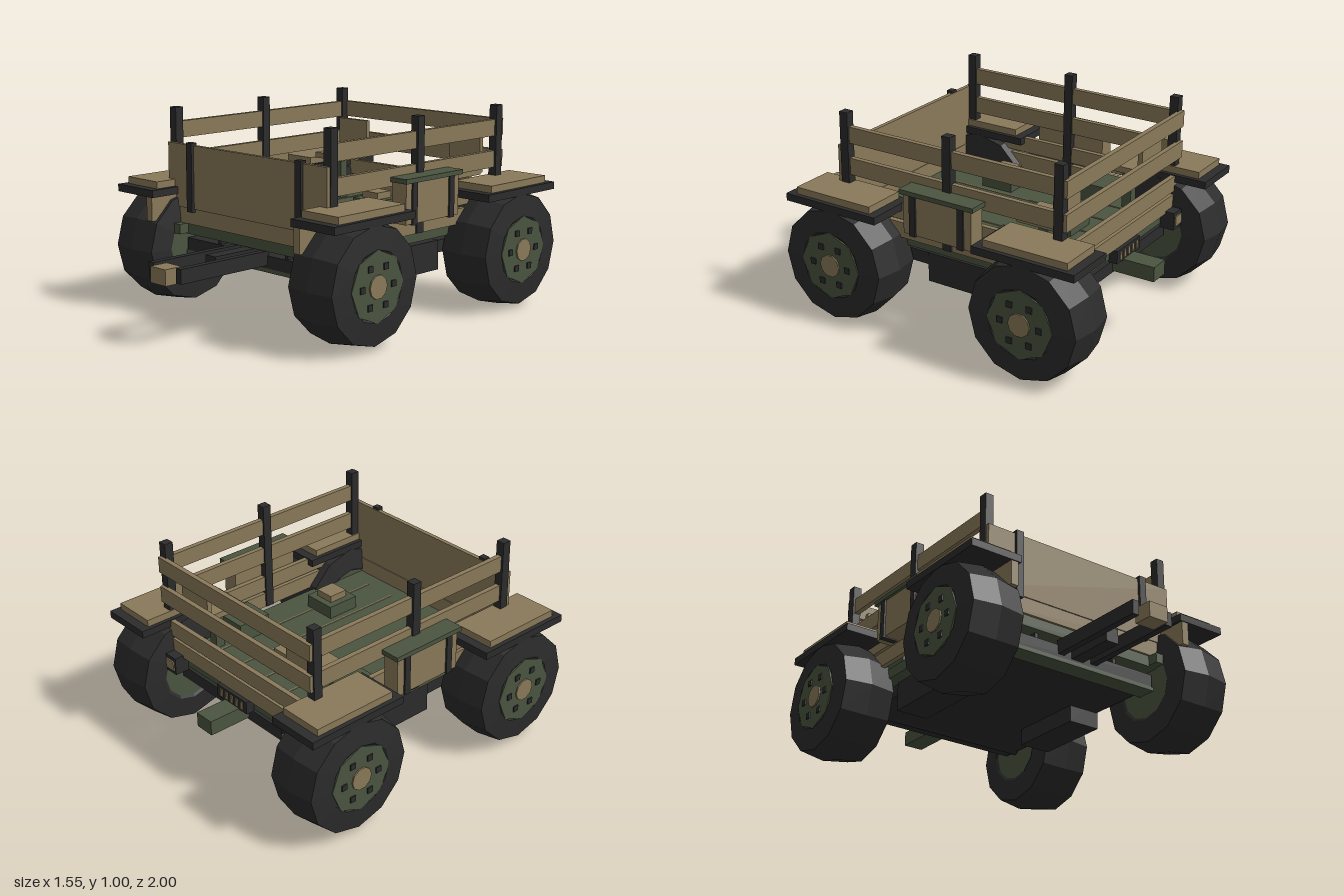
import * as THREE from 'three';

const mat = (name, color) => {
  const m = new THREE.MeshStandardMaterial({ color, flatShading: true });
  m.name = name;
  return m;
};

export function createModel() {
  const model = new THREE.Group();
  model.name = 'cargoTrailer';
  const tan = mat('tan paint', 0x8a7a5a);
  const green = mat('olive paint', 0x4b5540);
  const black = mat('black rubber and steel', 0x2c2c2d);

  // Box given by its limits on each axis
  const box = (name, m, x0, x1, y0, y1, z0, z1, parent = model) => {
    const mesh = new THREE.Mesh(new THREE.BoxGeometry(x1 - x0, y1 - y0, z1 - z0), m);
    mesh.position.set((x0 + x1) / 2, (y0 + y1) / 2, (z0 + z1) / 2);
    mesh.name = name;
    parent.add(mesh);
    return mesh;
  };
  // The same box on both sides
  const pair = (name, m, x0, x1, ...rest) => {
    box(name + 'Left', m, x0, x1, ...rest);
    box(name + 'Right', m, -x1, -x0, ...rest);
  };

  // Floor, planking seams and chassis
  box('floor', green, -0.5, 0.5, 0.38, 0.435, -0.77, 0.455);
  for (const x of [-0.34, -0.17, 0, 0.17, 0.34])
    box('floorSeam', tan, x - 0.004, x + 0.004, 0.434, 0.438, -0.71, 0.37);
  box('chassis', black, -0.465, 0.465, 0.29, 0.352, -0.76, 0.43);
  box('frontAxlePlate', green, -0.475, 0.475, 0.27, 0.29, 0.33, 0.43);
  pair('chassisHanger', black, 0.225, 0.245, 0.35, 0.385, -0.7, 0.42);
  pair('underBox', black, 0.295, 0.47, 0.205, 0.355, -0.4, 0.01);
  pair('frontStep', green, 0.43, 0.475, 0.385, 0.435, 0.45, 0.51);

  // Stakes
  for (const z of [-0.757, -0.16, 0.432])
    pair('stake', black, 0.512, 0.557, 0.44, 1.005, z - 0.023, z + 0.023);

  // Slatted sides and tail
  for (const [y0, y1] of [[0.437, 0.515], [0.53, 0.61], [0.69, 0.775], [0.85, 0.933]]) {
    pair('sideSlat', tan, 0.52, 0.546, y0, y1, -0.775, 0.445);
    box('tailSlat', tan, -0.55, 0.55, y0, y1, -0.797, -0.772);
  }

  // Front board with straps
  box('frontBoard', tan, -0.552, 0.552, 0.515, 0.832, 0.452, 0.474);
  box('frontSill', tan, -0.5, 0.5, 0.435, 0.515, 0.448, 0.468);
  pair('frontStrap', black, 0.36, 0.4, 0.5, 0.845, 0.455, 0.488);

  // Side lockers with lids and straps
  pair('locker', tan, 0.546, 0.632, 0.515, 0.715, -0.35, 0.03);
  pair('lockerLid', green, 0.546, 0.646, 0.712, 0.735, -0.367, 0.045);
  for (const z of [-0.025, -0.293])
    pair('lockerStrap', black, 0.56, 0.641, 0.51, 0.72, z - 0.017, z + 0.017);

  // Tyre cross-section, as radius and offset along the axle
  const profile = [[0.1, -0.11], [0.17, -0.147], [0.28, -0.135], [0.302, 0],
    [0.28, 0.135], [0.17, 0.147], [0.1, 0.11]].map(([r, o]) => new THREE.Vector2(r, o));
  const tyreGeometry = new THREE.LatheGeometry(profile, 12);

  const makeWheel = (side, z) => {
    const wheel = new THREE.Group();
    wheel.name = 'wheel';
    const disc = (name, m, r, length, sides, offset, y = 0, dz = 0) => {
      const mesh = new THREE.Mesh(new THREE.CylinderGeometry(r, r, length, sides), m);
      mesh.rotation.z = -Math.PI / 2;
      mesh.position.set(offset, y, dz);
      mesh.name = name;
      wheel.add(mesh);
    };
    const tyre = new THREE.Mesh(tyreGeometry, black);
    tyre.rotation.z = -Math.PI / 2;
    tyre.name = 'tyre';
    wheel.add(tyre);
    disc('hub', green, 0.17, 0.29, 8, 0.005);
    disc('hubCap', tan, 0.057, 0.02, 10, 0.147);
    for (let i = 0; i < 6; i++) {
      const a = (i * Math.PI) / 3, y = Math.sin(a) * 0.102, dz = Math.cos(a) * 0.102;
      box('wheelBolt', black, 0.145, 0.156, y - 0.015, y + 0.015, dz - 0.015, dz + 0.015, wheel);
    }
    wheel.position.set(side * 0.618, 0.306, z);
    if (side < 0) wheel.rotation.y = Math.PI;
    model.add(wheel);
  };

  // Wheels, axles and mudguards
  for (const z of [0.37, -0.697]) {
    makeWheel(1, z);
    makeWheel(-1, z);
    const axle = new THREE.Mesh(new THREE.CylinderGeometry(0.03, 0.03, 1, 8), black);
    axle.rotation.z = Math.PI / 2;
    axle.position.set(0, 0.312, z);
    axle.name = 'axle';
    model.add(axle);
    pair('mudguard', black, 0.484, 0.756, 0.577, 0.614, z - 0.265, z + 0.265);
    pair('mudguardTop', tan, 0.505, 0.733, 0.614, 0.649, z - 0.218, z + 0.218);
  }
  pair('mudguardBracket', tan, 0.497, 0.537, 0.457, 0.58, 0.46, 0.63);

  // Towing tongue
  pair('tongueBar', black, 0.08, 0.115, 0.305, 0.375, 0.42, 0.96);
  box('tongueCentre', black, -0.035, 0.035, 0.3, 0.375, 0.42, 0.685);
  box('towCoupling', tan, -0.053, 0.053, 0.293, 0.37, 0.905, 1.0);

  // Tail fittings
  box('rearCoupling', green, -0.053, 0.053, 0.3, 0.375, -0.98, -0.76);
  box('rearPlate', black, -0.11, 0.11, 0.37, 0.435, -0.815, -0.77);
  for (let i = -2; i <= 2; i++)
    box('rearPlateSlot', tan, i * 0.038 - 0.009, i * 0.038 + 0.009, 0.382, 0.423, -0.819, -0.815);
  pair('rearLamp', black, 0.4, 0.48, 0.36, 0.45, -0.845, -0.77);
  pair('rearLampLens', tan, 0.41, 0.47, 0.38, 0.43, -0.852, -0.845);

  // Corner seats with foot boxes
  pair('seatPedestal', green, 0.365, 0.415, 0.435, 0.65, -0.62, -0.57);
  pair('seatCushion', tan, 0.29, 0.49, 0.65, 0.68, -0.7, -0.5);
  pair('seatBack', tan, 0.29, 0.49, 0.66, 0.85, -0.715, -0.69);
  pair('footBox', green, 0.325, 0.495, 0.435, 0.53, -0.5, -0.32);

  // Deck pads with raised centres
  for (const [x, z] of [[0, -0.46], [-0.293, 0.07], [0.293, 0.07]]) {
    box('deckPad', green, x - 0.088, x + 0.088, 0.435, 0.5, z - 0.087, z + 0.087);
    box('deckPadCentre', tan, x - 0.052, x + 0.052, 0.5, 0.535, z - 0.052, z + 0.052);
  }
  return model;
}
